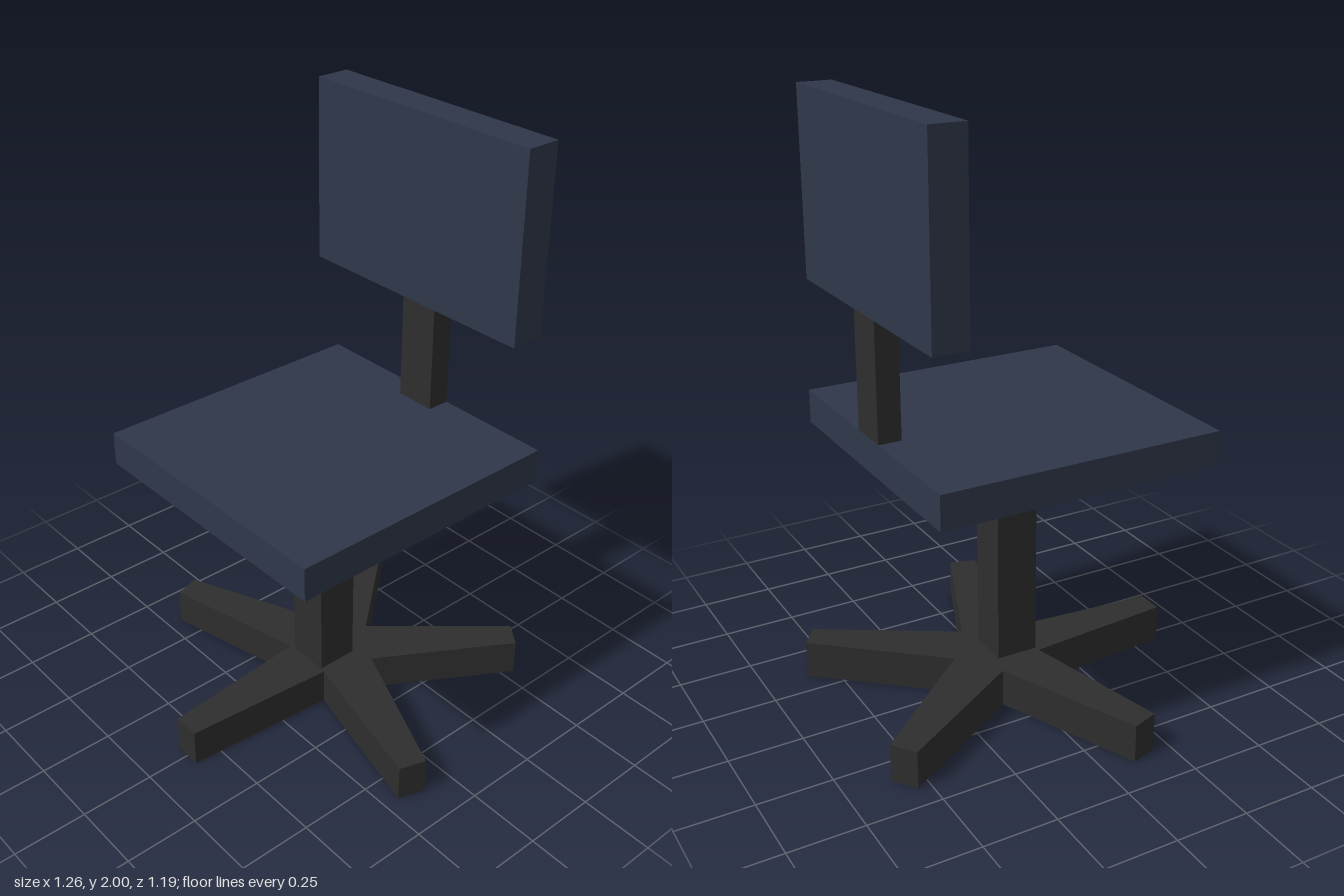
import * as THREE from 'three';

export function createModel() {
  const chair = new THREE.Group();
  chair.name = 'officeChair';

  const navy = new THREE.MeshStandardMaterial({ color: 0x2f374a });
  navy.name = 'navy upholstery';
  const black = new THREE.MeshStandardMaterial({ color: 0x2e2e2e, side: THREE.DoubleSide });
  black.name = 'black frame';

  function add(name, geometry, material) {
    const mesh = new THREE.Mesh(geometry, material);
    mesh.name = name;
    chair.add(mesh);
    return mesh;
  }

  // Box given by its half width and its y and z ranges
  function box(name, halfWidth, y0, y1, z0, z1, material) {
    const geometry = new THREE.BoxGeometry(2 * halfWidth, y1 - y0, z1 - z0);
    add(name, geometry, material).position.set(0, (y0 + y1) / 2, (z0 + z1) / 2);
  }

  box('seat', 0.483, 0.875, 0.99, -0.483, 0.483, navy);
  box('backrest', 0.45, 1.38, 2, -0.483, -0.366, navy);
  box('backrestPost', 0.072, 0.99, 1.38, -0.483, -0.405, black);
  box('column', 0.072, 0.13, 0.875, -0.072, 0.072, black);

  // Five-legged base: an open-bottomed shell with a star outline
  const legs = 5, reach = 0.645, tipHalf = 0.047, valley = 0.153;
  const hubZ = -0.048, baseHeight = 0.13;
  const outline = [];
  for (let i = 0; i < legs; i++) {
    const a = (i * 2 * Math.PI) / legs;
    const sin = Math.sin(a), cos = Math.cos(a);
    for (const side of [-1, 1]) {
      outline.push(new THREE.Vector2(
        reach * sin + side * tipHalf * cos,
        hubZ + reach * cos - side * tipHalf * sin));
    }
    const b = a + Math.PI / legs;
    outline.push(new THREE.Vector2(valley * Math.sin(b), hubZ + valley * Math.cos(b)));
  }

  // Top of the star, drawn in x and -z then laid flat
  const top = new THREE.ShapeGeometry(
    new THREE.Shape(outline.map((p) => new THREE.Vector2(p.x, -p.y))));
  top.rotateX(-Math.PI / 2);
  top.translate(0, baseHeight, 0);
  add('baseTop', top, black);

  // Vertical walls around the outline
  const walls = [];
  outline.forEach((p, i) => {
    const q = outline[(i + 1) % outline.length];
    walls.push(
      p.x, 0, p.y, q.x, 0, q.y, q.x, baseHeight, q.y,
      p.x, 0, p.y, q.x, baseHeight, q.y, p.x, baseHeight, p.y);
  });
  const wallGeometry = new THREE.BufferGeometry();
  wallGeometry.setAttribute('position', new THREE.Float32BufferAttribute(walls, 3));
  wallGeometry.computeVertexNormals();
  add('baseWalls', wallGeometry, black);

  return chair;
}
